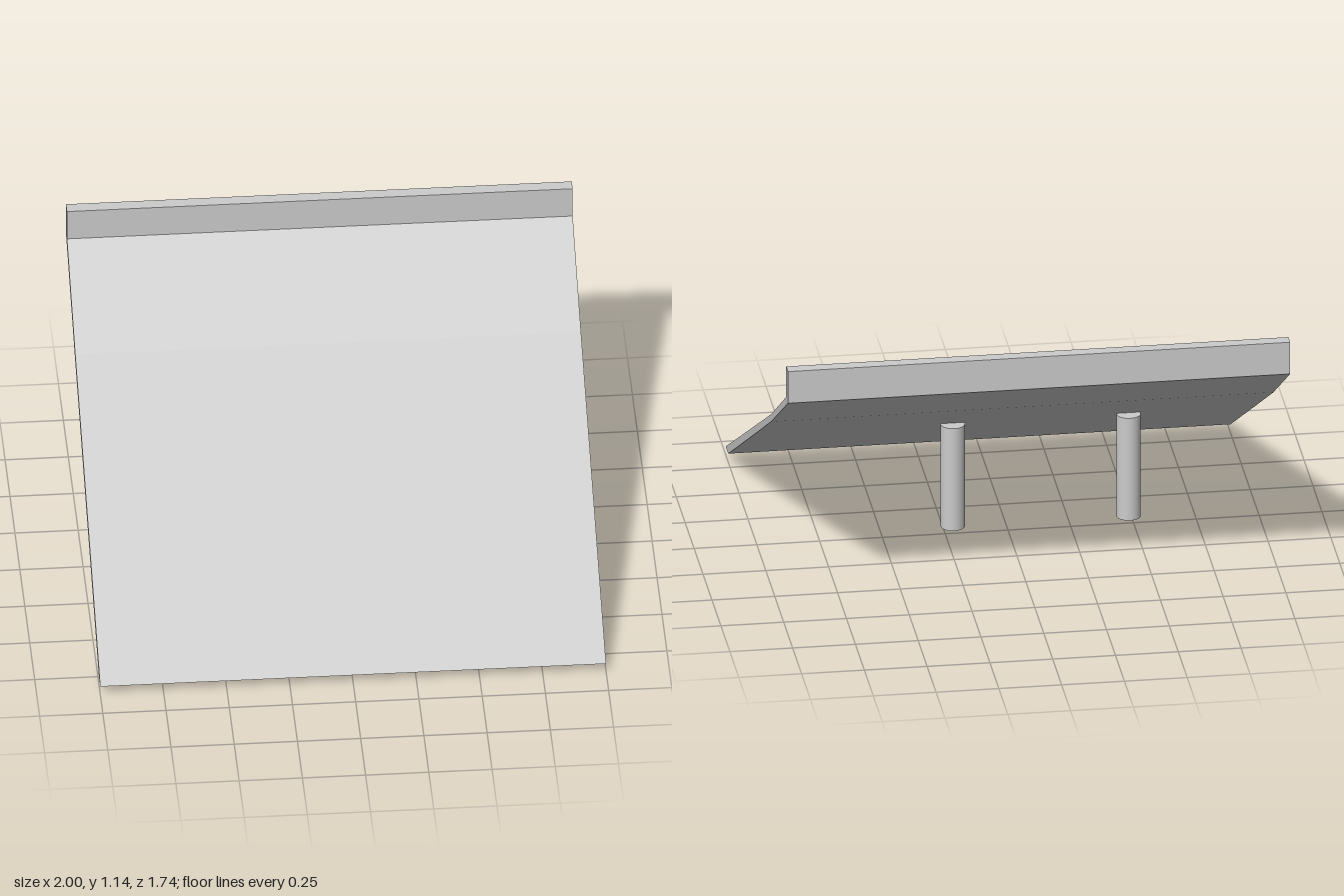
import * as THREE from 'three';

const material = new THREE.MeshStandardMaterial({ color: 0xcccccc });

// Prism spanning the full width, from a side outline of [z, y] points
function widePrism(name, outline, width) {
  const shape = new THREE.Shape(outline.map(([z, y]) => new THREE.Vector2(-z, y)));
  const geometry = new THREE.ExtrudeGeometry(shape, { depth: width, bevelEnabled: false });
  geometry.translate(0, 0, -width / 2).rotateY(Math.PI / 2);
  const mesh = new THREE.Mesh(geometry, material);
  mesh.name = name;
  return mesh;
}

export function createModel() {
  const model = new THREE.Group();
  model.name = 'slopedPanel';

  // Sloping deck with a slight bend and an upright lip along the back edge
  model.add(widePrism('deckWithBackLip', [
    [0.87, 0.037], [0.8, 0.037], [0.12, 0.418], [-0.4, 0.711],
    [-0.87, 1.0], [-0.87, 1.137], [-0.82, 1.137], [-0.82, 1.005], [-0.4, 0.743],
  ], 2));

  // Two round support posts, set off-centre
  const postHeight = 0.442;
  const postGeometry = new THREE.CylinderGeometry(0.048, 0.048, postHeight, 40);
  for (const [name, x] of [['rightPost', -0.49], ['leftPost', 0.21]]) {
    const post = new THREE.Mesh(postGeometry, material);
    post.name = name;
    post.position.set(x, postHeight / 2, 0.07);
    model.add(post);
  }
  return model;
}
